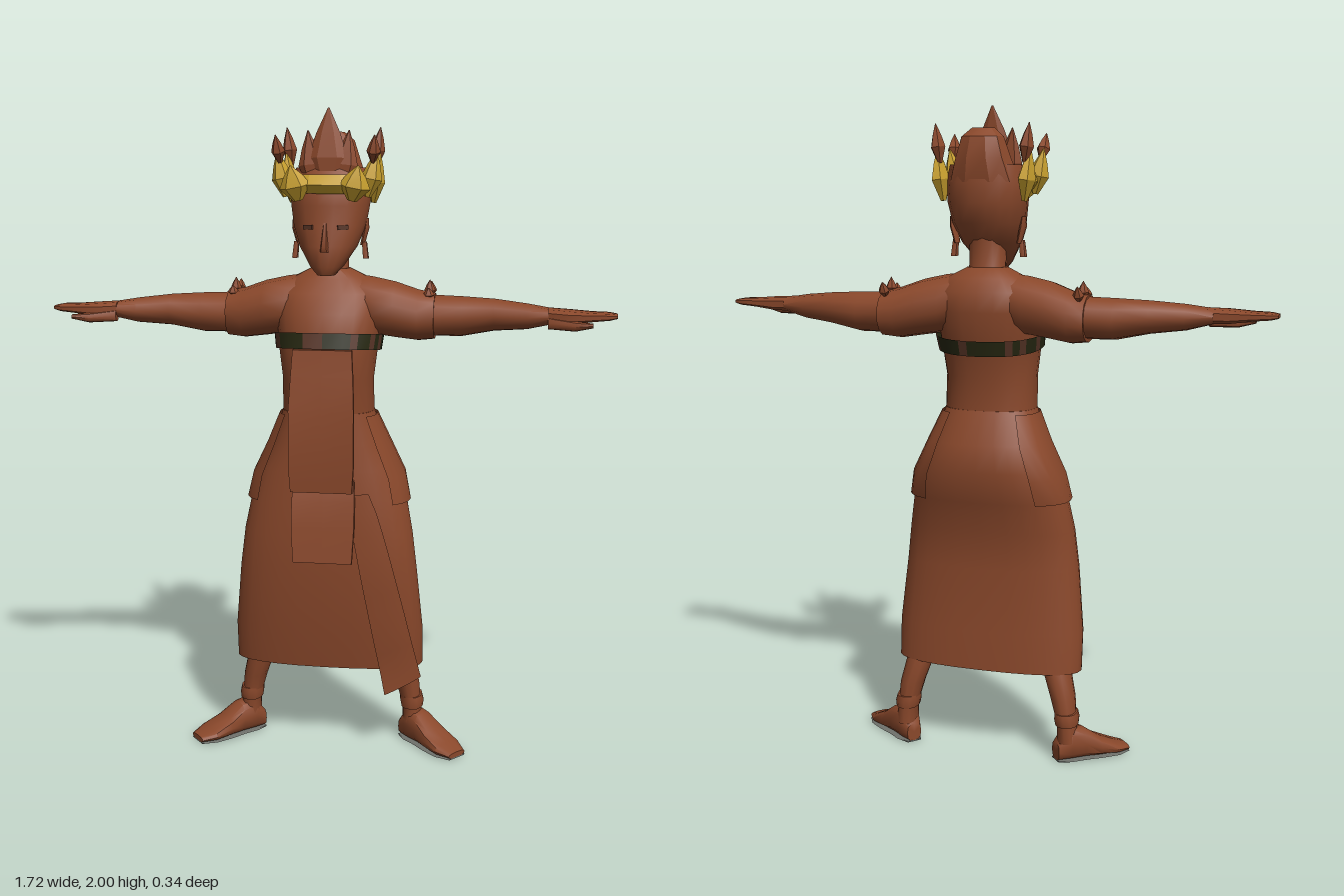
import * as THREE from 'three';
import { toCreasedNormals } from 'three/addons/utils/BufferGeometryUtils.js';

const material = (name, color, side = THREE.FrontSide) => {
  const m = new THREE.MeshStandardMaterial({ color, side });
  m.name = name;
  return m;
};

// Skin over rings [t, a0, a1, b0, b1]: t along the axis, a and b the limits across it.
// p squares off the cross-section; keep(j) picks columns for an open strip.
function loft(axis, rings, { n = 16, p = 2.2, keep = null } = {}) {
  const pos = [], idx = [], mid = new THREE.Vector3();
  const pw = (c) => (Math.abs(c) < 1e-6 ? 0 : Math.sign(c) * Math.abs(c) ** (2 / p));
  const put = (t, a, b) => (axis === 'y' ? pos.push(a, t, b) : pos.push(t, a, b));
  for (const [t, a0, a1, b0, b1] of rings) {
    for (let j = 0; j < n; j++) {
      const q = (j / n) * Math.PI * 2;
      put(t, (a0 + a1) / 2 + ((a1 - a0) / 2) * pw(Math.cos(q)), (b0 + b1) / 2 + ((b1 - b0) / 2) * pw(Math.sin(q)));
    }
  }
  const last = rings.length - 1;
  for (let i = 0; i < last; i++) {
    for (let j = 0; j < n; j++) {
      if (keep && !keep(j)) continue;
      const k = (j + 1) % n, a = i * n + j, b = i * n + k, c = a + n, d = b + n;
      idx.push(a, c, b, b, c, d);
    }
  }
  if (!keep) {
    for (const [i, flip] of [[0, false], [last, true]]) {
      const [t, a0, a1, b0, b1] = rings[i], e = pos.length / 3;
      put(t, (a0 + a1) / 2, (b0 + b1) / 2);
      for (let j = 0; j < n; j++) {
        const a = i * n + j, b = i * n + ((j + 1) % n);
        idx.push(e, flip ? b : a, flip ? a : b);
      }
    }
  }
  // turn the faces outward
  const v = (i) => new THREE.Vector3().fromArray(pos, i * 3).sub(mid);
  const count = pos.length / 3;
  const sum = new THREE.Vector3();
  for (let i = 0; i < count; i++) sum.add(v(i));
  mid.copy(sum.divideScalar(count));
  let volume = 0;
  for (let i = 0; i < idx.length; i += 3) volume += v(idx[i]).dot(v(idx[i + 1]).cross(v(idx[i + 2])));
  if (volume < 0) idx.reverse();
  const g = new THREE.BufferGeometry();
  g.setAttribute('position', new THREE.Float32BufferAttribute(pos, 3));
  g.setIndex(idx);
  return g;
}

const sym = (rows) => rows.map(([y, w, f, b]) => [y, -w, w, b, f]);

function mirror(geo) {
  const g = geo.clone().scale(-1, 1, 1);
  g.setIndex(Array.from(g.index.array).reverse());
  return g;
}

// Pointed ornament standing at a place, leaning sideways and forward
function leaf(x, y, z, w, h, d, side = 0, front = 0) {
  const r = [[0, 0.3], [0.4, 1], [0.7, 0.6], [1, 0.04]];
  return loft('y', r.map(([t, k]) => [t * h, -w * k / 2, w * k / 2, -d * k / 2, d * k / 2]), { n: 6, p: 2 })
    .rotateZ(-side).rotateX(front).translate(x, y, z);
}

// Body rows: height, half width, front z, back z
const BODY = [
  [0.28, 0.30, 0.075, -0.12], [0.4, 0.30, 0.095, -0.115], [0.6, 0.28, 0.115, -0.10], [0.72, 0.265, 0.117, -0.11],
  [0.82, 0.245, 0.115, -0.14], [0.92, 0.215, 0.11, -0.17], [1.0, 0.175, 0.105, -0.155], [1.1, 0.142, 0.10, -0.11],
  [1.2, 0.14, 0.115, -0.11], [1.3, 0.152, 0.13, -0.135], [1.4, 0.165, 0.105, -0.16], [1.46, 0.165, 0.07, -0.155],
  [1.5, 0.12, 0.03, -0.13], [1.53, 0.06, 0.01, -0.1],
];
function bodyAt(y) {
  let i = 0;
  while (i < BODY.length - 2 && BODY[i + 1][0] < y) i++;
  const t = THREE.MathUtils.clamp((y - BODY[i][0]) / (BODY[i + 1][0] - BODY[i][0]), 0, 1);
  return BODY[i].map((a, k) => a + (BODY[i + 1][k] - a) * t);
}
// Rings standing off the body: pairs of height and distance
const around = (rows) => sym(rows.map(([y, d]) => {
  const [, w, f, b] = bodyAt(y);
  return [y, w + d, f + d, b - d];
}));

export function createModel() {
  const group = new THREE.Group();
  const brown = material('warm brown', 0x8a482b, THREE.DoubleSide);
  const gold = material('gold', 0xc79f2e, THREE.DoubleSide);
  const olive = material('dark olive', 0x272812, THREE.DoubleSide);
  const umber = material('dark umber', 0x573426, THREE.DoubleSide);
  const grey = material('sole grey', 0x70726c);
  const add = (name, geo, mat, crease = 0.8) => {
    const m = new THREE.Mesh(toCreasedNormals(geo, crease), mat);
    m.name = name;
    group.add(m);
  };
  const pair = (name, geo, mat, crease) => {
    add('left ' + name, geo, mat, crease);
    add('right ' + name, mirror(geo), mat, crease);
  };

  // Skirt and torso
  add('skirt', loft('y', sym(BODY.slice(0, 8)), { n: 28, p: 2.45 }), brown);
  add('torso', loft('y', sym(BODY.slice(7)), { n: 24, p: 2.3 }), brown);

  // Patchy chest band, lower at the back
  const band = around([[1.302, 0.009], [1.35, 0.009]]);
  const patch = (j) => j % 5 === 1 || j % 7 === 3;
  const tilt = new THREE.Matrix4().set(1, 0, 0, 0, 0, 1, 0.12, -0.0156, 0, 0, 1, 0, 0, 0, 0, 1);
  const strip = (keep) => loft('y', band, { n: 40, p: 2.3, keep }).applyMatrix4(tilt);
  add('chest band', strip((j) => !patch(j)), olive);
  add('chest band patches', strip(patch), umber);

  // Hip wraps on both sides
  const wrap = around([[0.82, 0.012], [0.9, 0.018], [1.0, 0.016], [1.09, 0.007]]);
  pair('hip wrap', loft('y', wrap, { n: 28, p: 2.45, keep: (j) => j < 3 || j > 23 }), brown);

  // Hanging front panels: y, left x, right x, front z
  const panel = (rows) => loft('y', rows.map(([y, a, b, z]) => [y, a, b, z - 0.018, z]), { n: 8, p: 50 });
  add('upper front panel', panel([[0.87, -0.095, 0.095, 0.163], [0.95, -0.1, 0.1, 0.168], [1.12, -0.1, 0.1, 0.165], [1.22, -0.095, 0.095, 0.148], [1.3, -0.09, 0.09, 0.138]]), brown);
  add('lower front panel', panel([[0.65, -0.088, 0.095, 0.165], [0.75, -0.095, 0.1, 0.153], [0.84, -0.095, 0.1, 0.14], [0.9, -0.09, 0.095, 0.12]]), brown);

  // Slanting sash lying over the skirt
  const sash = new THREE.PlaneGeometry(1, 1, 8, 10);
  const sp = sash.attributes.position;
  for (let i = 0; i < sp.count; i++) {
    const u = sp.getX(i) + 0.5, v = 0.5 - sp.getY(i);
    const y = 0.86 + (0.2 + 0.05 * u - 0.86) * v;
    const x = THREE.MathUtils.lerp(0.07 + 0.12 * v, 0.14 + 0.16 * v ** 0.8, u);
    const [, w, f, b] = bodyAt(y);
    const k = Math.max(0, 1 - (x / (w + 0.012)) ** 2.45) ** (1 / 2.45);
    sp.setXYZ(i, x, y, (f + b) / 2 + ((f - b) / 2) * k + 0.02);
  }
  add('sash', sash, brown);

  // Arms: x, bottom y, top y, back z, front z
  pair('upper arm', loft('x', [
    [0.05, 1.36, 1.515, -0.13, 0.03], [0.13, 1.33, 1.505, -0.15, 0.06], [0.2, 1.32, 1.49, -0.155, 0.06],
    [0.27, 1.31, 1.465, -0.16, 0.035], [0.32, 1.315, 1.455, -0.152, 0.022],
  ], { n: 14 }), brown);
  pair('forearm', loft('x', [
    [0.3, 1.325, 1.45, -0.145, 0.015], [0.4, 1.325, 1.447, -0.135, 0.015], [0.5, 1.345, 1.442, -0.115, 0.015],
    [0.6, 1.355, 1.432, -0.078, 0.035], [0.68, 1.375, 1.42, -0.052, 0.04],
  ], { n: 12 }), brown);
  pair('hand', loft('x', [
    [0.66, 1.375, 1.423, -0.05, 0.04], [0.72, 1.375, 1.42, -0.045, 0.06], [0.79, 1.385, 1.414, -0.04, 0.055],
    [0.84, 1.39, 1.412, -0.04, 0.05], [0.862, 1.395, 1.408, -0.028, 0.035],
  ], { n: 10, p: 3 }), brown);
  pair('thumb', loft('x', [
    [0.66, 1.362, 1.4, 0.01, 0.045], [0.74, 1.36, 1.39, 0.04, 0.074], [0.79, 1.372, 1.386, 0.058, 0.08],
  ], { n: 8 }), brown);
  // Arm ornaments
  for (const [z, h, lean] of [[-0.07, 0.055, 0], [-0.12, 0.05, -0.5], [-0.03, 0.035, 0.2]]) {
    pair('arm ornament', leaf(0.302, 1.44, z, 0.035, h, 0.035, 0, lean), brown, 0.2);
  }

  // Legs, anklets, feet and soles
  pair('leg', loft('y', [
    [0.06, 0.235, 0.3, -0.105, -0.02], [0.12, 0.235, 0.295, -0.105, -0.02], [0.2, 0.212, 0.288, -0.105, -0.005],
    [0.29, 0.18, 0.268, -0.09, 0.01], [0.36, 0.17, 0.25, -0.07, 0.01],
  ], { n: 12 }), brown);
  pair('anklet', loft('y', [[0.115, 0.23, 0.301, -0.11, -0.014], [0.135, 0.226, 0.303, -0.113, -0.01], [0.155, 0.227, 0.298, -0.11, -0.012]], { n: 12 }), brown);
  const FOOT = [[-0.01, 0.06, 0.025], [0.03, 0.11, 0.04], [0.08, 0.1, 0.042], [0.13, 0.065, 0.05], [0.19, 0.036, 0.053], [0.235, 0.02, 0.035]];
  const place = (g) => g.rotateY(-0.72).translate(0.244, 0, -0.083);
  pair('foot', place(loft('x', FOOT.map(([x, h, w]) => [x, 0.003, h, -w, w]), { n: 12, p: 2.8 })), brown);
  pair('sole', place(loft('x', FOOT.map(([x, , w]) => [x, 0, 0.004, -w, w]), { n: 8, p: 8 })), grey, 0.3);

  // Neck, head and face
  add('neck', loft('y', sym([[1.46, 0.085, 0.03, -0.125], [1.51, 0.056, 0.008, -0.1], [1.62, 0.055, 0.02, -0.1]]), { n: 12 }), brown);
  add('head', loft('y', sym([
    [1.515, 0.026, 0.08, 0.02], [1.54, 0.05, 0.092, -0.02], [1.6, 0.088, 0.088, -0.09], [1.66, 0.11, 0.078, -0.13],
    [1.72, 0.12, 0.07, -0.15], [1.78, 0.124, 0.065, -0.15], [1.83, 0.108, 0.03, -0.145],
  ]), { n: 18 }), brown);
  add('nose', loft('y', sym([[1.585, 0.016, 0.098, 0.06], [1.6, 0.013, 0.105, 0.06], [1.67, 0.006, 0.08, 0.05]]), { n: 6 }), brown);
  pair('eye', new THREE.BoxGeometry(0.032, 0.013, 0.008).rotateY(0.45).translate(0.052, 1.657, 0.068), umber);
  pair('ear', loft('y', [[1.6, 0.09, 0.104, -0.06, -0.025], [1.65, 0.1, 0.118, -0.065, -0.015], [1.68, 0.108, 0.116, -0.06, -0.025]], { n: 8 }), brown);
  pair('earring', loft('y', [[1.56, 0.1, 0.118, -0.05, -0.02], [1.61, 0.096, 0.112, -0.045, -0.025]], { n: 8, p: 4 }), brown);

  // Hair bun
  add('hair bun', loft('y', sym([[1.78, 0.11, 0.0, -0.15], [1.85, 0.085, -0.02, -0.16], [1.91, 0.065, -0.045, -0.145], [1.935, 0.035, -0.06, -0.115]]), { n: 10 }), brown, 0.4);

  // Gold crown band with lumps at the front and flames at the sides
  add('gold band', loft('y', sym([[1.755, 0.128, 0.08, -0.13], [1.78, 0.142, 0.098, -0.13], [1.81, 0.136, 0.08, -0.13]]), { n: 20, keep: (j) => j < 11 || j > 18 }), gold, 0.2);
  pair('gold front lump', leaf(0.08, 1.735, 0.075, 0.095, 0.105, 0.06, 0.2, 0.15), gold, 0.2);
  pair('gold front flame', leaf(0.122, 1.745, 0.04, 0.065, 0.135, 0.065, 0.2), gold, 0.2);
  pair('gold back flame', leaf(0.125, 1.725, -0.085, 0.055, 0.155, 0.1, 0.12), gold, 0.2);

  // Brown petals
  add('centre petal', leaf(0, 1.76, 0.03, 0.12, 0.245, 0.04, 0, -0.12), brown, 0.2);
  pair('inner petal', leaf(0.045, 1.77, 0.02, 0.075, 0.17, 0.035, 0.1, -0.1), brown, 0.2);
  pair('front horn tip', leaf(0.138, 1.845, 0.05, 0.042, 0.085, 0.05, 0.1, 0.35), brown, 0.2);
  pair('back horn tip', leaf(0.13, 1.835, -0.1, 0.045, 0.115, 0.06, 0.12), brown, 0.2);
  return group;
}
